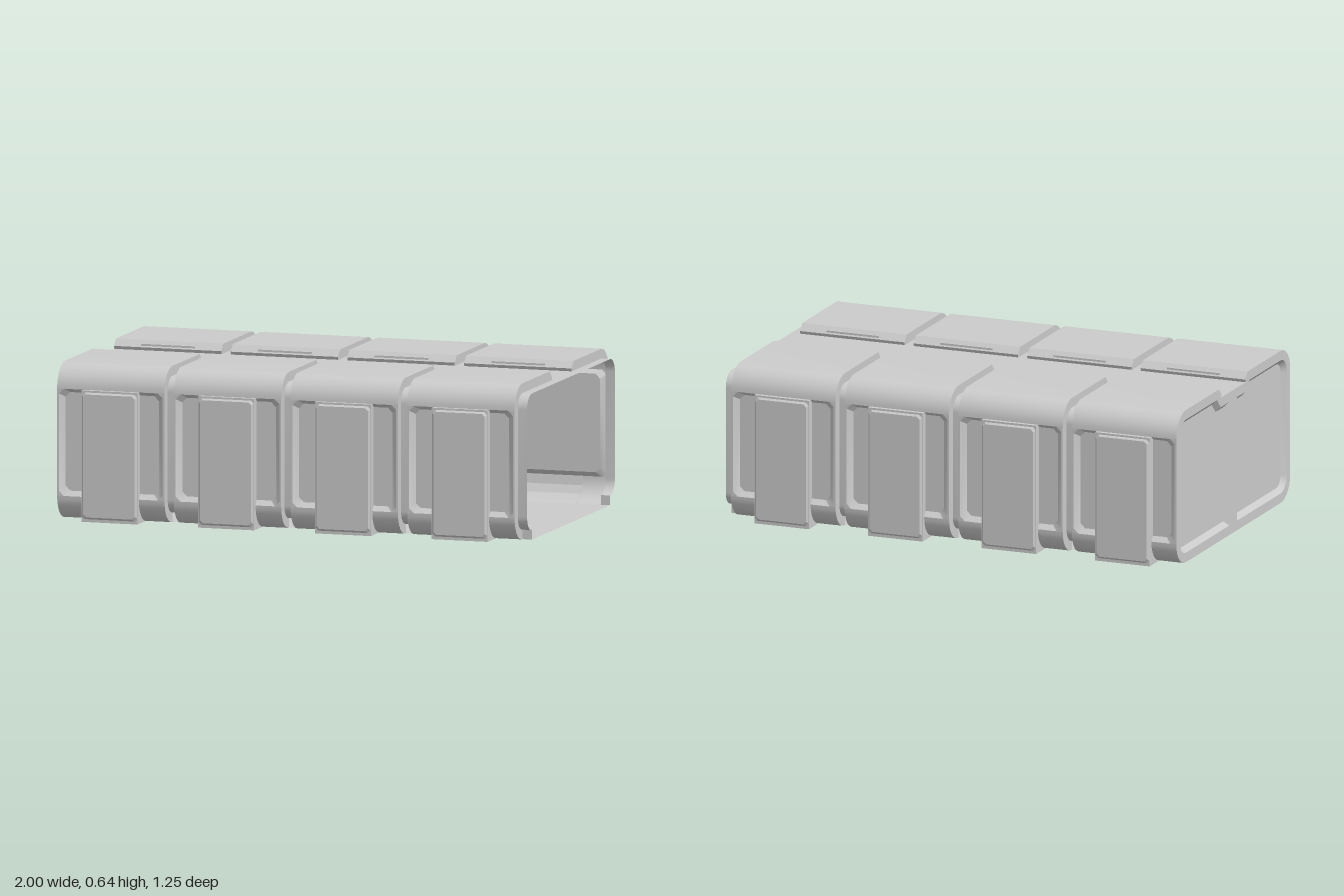
import * as THREE from 'three';
import { toCreasedNormals } from 'three/addons/utils/BufferGeometryUtils.js';

const mat = new THREE.MeshStandardMaterial({ color: 0xcccccc, side: THREE.DoubleSide });
const V = (x, y, z) => new THREE.Vector3(x, y, z);

// Skin a list of equally long point rows
function loft(rows, closed = false) {
  const pos = [], n = rows[0].length;
  for (let i = 0; i + 1 < rows.length; i++)
    for (let j = 0; j < (closed ? n : n - 1); j++) {
      const k = (j + 1) % n;
      const a = rows[i][j], b = rows[i][k], c = rows[i + 1][k], d = rows[i + 1][j];
      for (const p of [a, b, c, a, c, d]) pos.push(p.x, p.y, p.z);
    }
  const g = new THREE.BufferGeometry();
  g.setAttribute('position', new THREE.Float32BufferAttribute(pos, 3));
  return toCreasedNormals(g, 0.5);
}

function arc(cz, cy, r, from, to, n = 10) {
  return Array.from({ length: n + 1 }, (_, i) => {
    const t = from + ((to - from) * i) / n;
    return [cz + r * Math.cos(t), cy + r * Math.sin(t)];
  });
}

// Half cross-section as [z, y]; d is how far it is sunk
const lower = d => arc(0.5, 0.1, 0.1 - d, -Math.PI / 2, 0);
const upper = d => [
  ...arc(0.5, 0.54, 0.1 - d, 0, Math.PI / 2),
  [0.15, 0.64 - d], [0.125, 0.6125 - d * 0.3125], [0.13, 0.6],
];
const full = d => [...lower(d), ...upper(d)];

// Outline of one sunk end panel, inset by d
const endPanel = d => [
  [0.04 + d, 0.04 + d],
  ...arc(0.5, 0.105, 0.065 - d, -Math.PI / 2, 0, 6),
  ...arc(0.5, 0.535, 0.065 - d, 0, Math.PI / 2, 6),
  [0.172 + d * 0.4, 0.6 - d], [0.132 + d * 0.4, 0.56 - d], [0.04 + d, 0.56 - d],
];

// Rectangle with cut corners: centre x, half width, bottom, top, z
function plateRing(x, w, y0, y1, z, c = 0.012) {
  return [
    V(x - w + c, y0, z), V(x + w - c, y0, z), V(x + w, y0 + c, z), V(x + w, y1 - c, z),
    V(x + w - c, y1, z), V(x - w + c, y1, z), V(x - w, y1 - c, z), V(x - w, y0 + c, z),
  ];
}
const centreRing = (x, y, z) => Array.from({ length: 8 }, () => V(x, y, z));

export function createModel() {
  const root = new THREE.Group();
  const add = (geo, name, parent = root) => {
    const m = new THREE.Mesh(geo, mat);
    m.name = name;
    parent.add(m);
    return m;
  };

  for (const s of [1, -1]) {
    const side = new THREE.Group();
    side.name = s > 0 ? 'frontHalf' : 'backHalf';
    root.add(side);
    const at = (pts, x) => pts.map(([z, y]) => V(x, y, s * z));
    const flip = rings => rings.map(r => r.map(p => V(p.x, p.y, s * p.z)));

    for (let i = 0; i < 4; i++) {
      const x0 = -1 + i * 0.5, x1 = x0 + 0.46, x2 = x0 + 0.5, cx = x0 + 0.23;

      // Curved shell of the segment
      add(loft([at(lower(0), x0), at(lower(0), x1)]), 'bottomCurve', side);
      add(loft([at(upper(0), x0), at(upper(0), x1)]), 'roofShell', side);

      // Groove after the segment, with its flanges
      const rows = [at(full(0), x1), at(full(0.04), x1), at(full(0.04), x2)];
      if (i < 3) rows.push(at(full(0), x2));
      add(loft(rows), 'groove', side);

      // Side wall with a bevelled recess
      add(loft(flip([
        plateRing(cx, 0.23, 0.1, 0.54, 0.6, 0),
        plateRing(cx, 0.222, 0.1, 0.54, 0.6, 0.02),
        plateRing(cx, 0.2, 0.12, 0.525, 0.58, 0.02),
        centreRing(cx, 0.32, 0.58),
      ]), true), 'sideWall', side);

      // Upright strap standing on the floor line
      const strap = new THREE.Shape([
        [0.5, 0], [0.617, 0], [0.617, 0.54], [0.585, 0.54], [0.585, 0.12],
        [0.6, 0.1], [0.592, 0.062], [0.571, 0.029], [0.538, 0.008],
      ].map(([z, y]) => new THREE.Vector2(s * z, y)));
      const strapGeo = new THREE.ExtrudeGeometry(strap, { depth: 0.24, bevelEnabled: false });
      strapGeo.rotateY(-Math.PI / 2).translate(cx + 0.12, 0, 0);
      add(strapGeo, 'strap', side);
      add(loft(flip([
        plateRing(cx, 0.118, 0.012, 0.532, 0.617),
        plateRing(cx, 0.11, 0.02, 0.525, 0.625),
        centreRing(cx, 0.27, 0.625),
      ]), true), 'strapFace', side);

      // Clip on the edge of the roof channel
      const clip = add(new THREE.BoxGeometry(0.23, 0.022, 0.022), 'channelClip', side);
      clip.position.set(cx, 0.615, s * 0.141);
    }

    // Small upright closing the open end at floor level
    add(loft([at([[0.5, 0], [0.5, 0.04]], 0.96), at([[0.5, 0], [0.5, 0.04]], 1)]), 'endFoot', side);

    // Sunk panel of the closed end
    add(loft([at(endPanel(0), -1), at(endPanel(0.02), -0.98)], true), 'endPanelBevel', side);
    const cap = new THREE.Shape(endPanel(0.02).map(([z, y]) => new THREE.Vector2(s * z, y)));
    add(new THREE.ShapeGeometry(cap).rotateY(-Math.PI / 2).translate(-0.98, 0, 0), 'endPanel', side);
  }

  // Frame of the closed end
  const half = full(0);
  const outline = [...half, ...half.map(([z, y]) => [-z, y]).reverse()];
  const frame = new THREE.Shape(outline.map(p => new THREE.Vector2(...p)));
  for (const s of [1, -1])
    frame.holes.push(new THREE.Path(endPanel(0).map(([z, y]) => new THREE.Vector2(s * z, y))));
  add(new THREE.ShapeGeometry(frame).rotateY(-Math.PI / 2).translate(-1, 0, 0), 'endFrame');

  // Roof channel and floor
  add(new THREE.PlaneGeometry(2, 0.26).rotateX(-Math.PI / 2).translate(0, 0.6, 0), 'roofChannel');
  add(new THREE.PlaneGeometry(2, 1).rotateX(Math.PI / 2), 'floor');

  return root;
}
